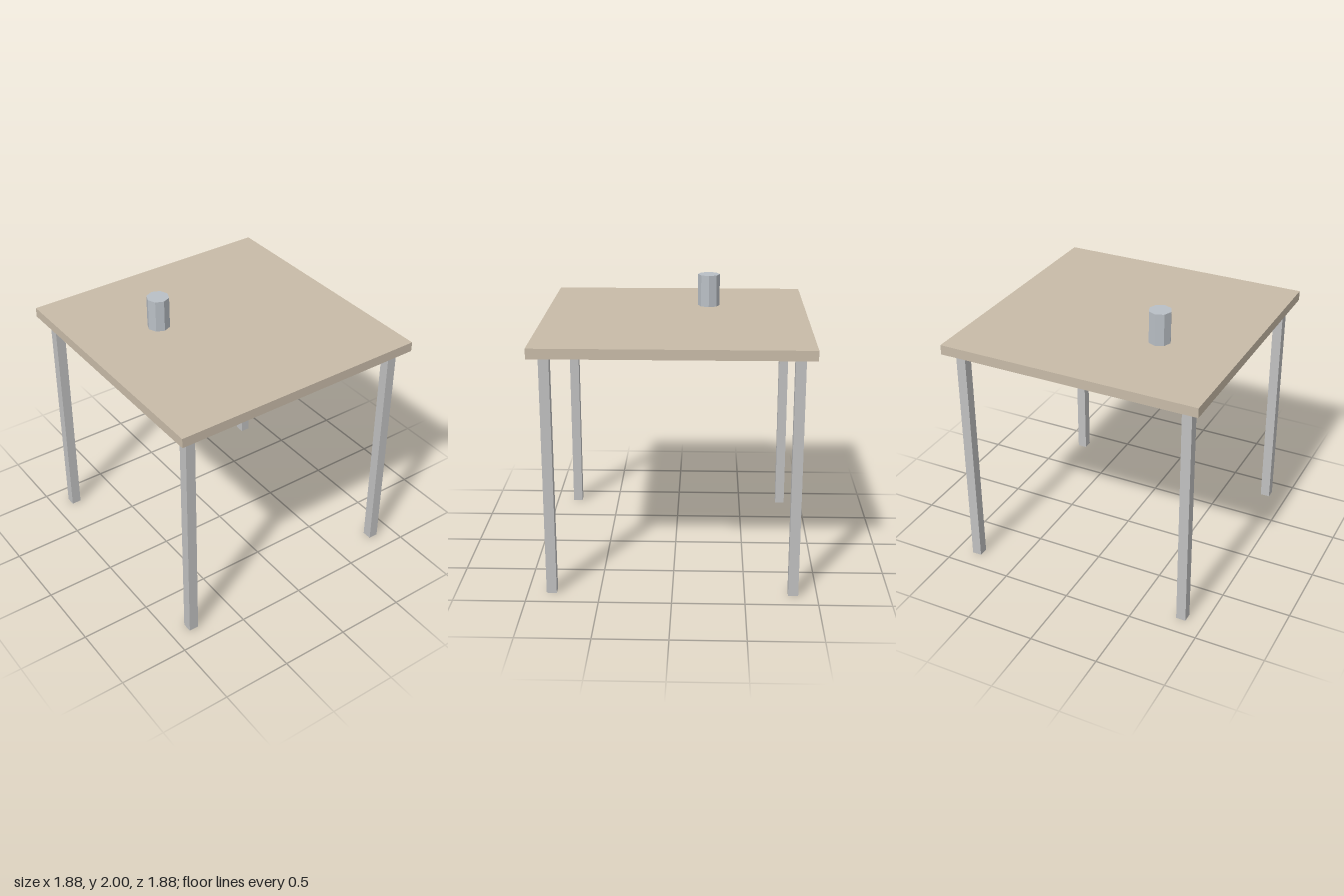
import * as THREE from 'three';

export function createModel() {
  const group = new THREE.Group();
  const wood = new THREE.MeshStandardMaterial({ name: 'paleWood', color: 0xc8bba8, flatShading: true });
  const legGrey = new THREE.MeshStandardMaterial({ name: 'legGrey', color: 0xc0c0c0, flatShading: true });
  const cupGrey = new THREE.MeshStandardMaterial({ name: 'cupGrey', color: 0xb9bfc5, flatShading: true });

  const add = (name, geometry, material, x, y, z) => {
    const mesh = new THREE.Mesh(geometry, material);
    mesh.name = name;
    mesh.position.set(x, y, z);
    group.add(mesh);
  };

  // Square table top
  add('tableTop', new THREE.BoxGeometry(1.88, 0.07, 1.88), wood, 0, 1.733, 0);

  // Four square legs, set in from the corners
  const legGeometry = new THREE.BoxGeometry(0.07, 1.698, 0.07);
  for (const [side, x] of [['Left', 0.835], ['Right', -0.835]]) {
    for (const [end, z] of [['front', 0.835], ['back', -0.835]]) {
      add(`${end}${side}Leg`, legGeometry, legGrey, x, 0.849, z);
    }
  }

  // Eight-sided cup standing on the table
  add('cup', new THREE.CylinderGeometry(0.08, 0.08, 0.232, 8), cupGrey, -0.353, 1.884, -0.235);

  return group;
}
